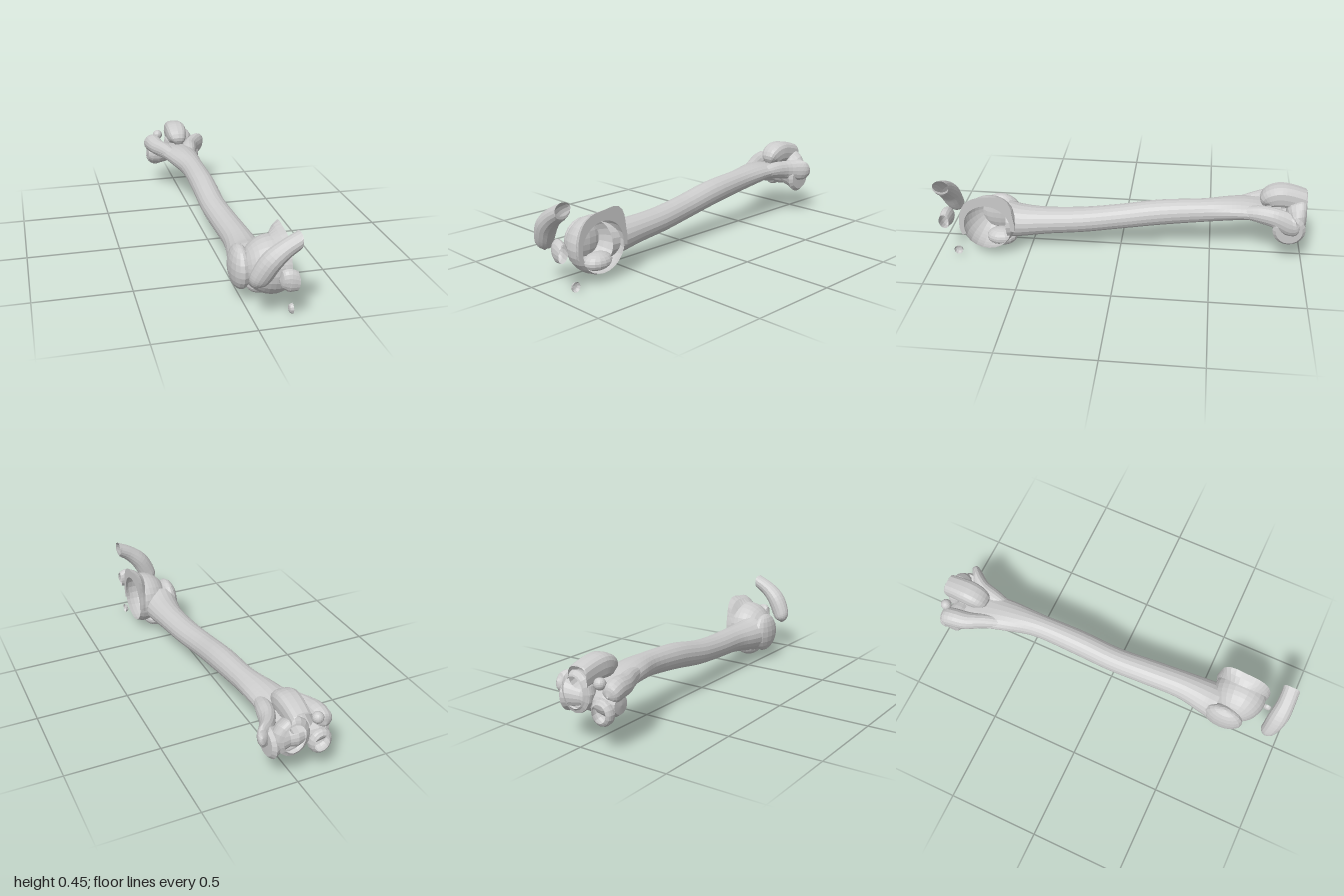
import * as THREE from 'three';

const bone = new THREE.MeshStandardMaterial({ color: 0xcccccc, flatShading: true, side: THREE.DoubleSide });
const V = (x, y, z) => new THREE.Vector3(x, y, z);

// Surface through equal-length rings of points, cut off at the two open ends
function loft(rings) {
  const n = rings[0].length, pos = [], idx = [];
  rings.forEach(r => r.forEach(p => pos.push(Math.min(p.x, 0.2), p.y, Math.max(p.z, -1))));
  for (let i = 0; i < rings.length - 1; i++) {
    for (let j = 0; j < n; j++) {
      const a = i * n + j, b = i * n + (j + 1) % n;
      idx.push(a, b, a + n, b, b + n, a + n);
    }
  }
  const g = new THREE.BufferGeometry();
  g.setAttribute('position', new THREE.Float32BufferAttribute(pos, 3));
  g.setIndex(idx);
  g.computeVertexNormals();
  return g;
}

// Section swept along a curve; each row is [x, y, z, half width along side, other half width].
// A power below 1 makes the oval section squarer.
function sweep(rows, side, steps = 16, n = 16, power = 1) {
  const path = new THREE.CatmullRomCurve3(rows.map(r => V(r[0], r[1], r[2])), false, 'catmullrom');
  const size = new THREE.CatmullRomCurve3(rows.map(r => V(r[3], r[4], 0)), false, 'catmullrom');
  const bend = t => Math.sign(t) * Math.abs(t) ** power;
  const rings = [];
  for (let i = 0; i <= steps; i++) {
    const u = i / steps, c = path.getPoint(u), s = size.getPoint(u);
    const up = path.getTangent(u).cross(side).normalize();
    const ring = [];
    for (let j = 0; j < n; j++) {
      const a = j / n * Math.PI * 2;
      ring.push(c.clone().addScaledVector(side, bend(Math.cos(a)) * s.x).addScaledVector(up, bend(Math.sin(a)) * s.y));
    }
    rings.push(ring);
  }
  return loft(rings);
}

export function createModel() {
  const model = new THREE.Group();
  const X = V(1, 0, 0), Z = V(0, 0, 1);
  const add = (name, geo) => {
    const m = new THREE.Mesh(geo, bone);
    m.name = name;
    model.add(m);
    return m;
  };
  const lump = (name, p, r) => {
    const m = add(name, new THREE.SphereGeometry(1, 16, 11));
    m.position.set(...p);
    m.scale.set(...r);
  };

  // Long shaft, flattened toward the elbow and swelling at the shoulder
  add('shaft', sweep([
    [-0.02, 0.27, -0.87, 0.125, 0.022],
    [-0.025, 0.272, -0.79, 0.13, 0.038],
    [-0.015, 0.275, -0.70, 0.103, 0.052],
    [0.0, 0.273, -0.60, 0.087, 0.06],
    [0.02, 0.262, -0.45, 0.066, 0.064],
    [0.029, 0.24, -0.22, 0.069, 0.07],
    [0.034, 0.203, 0, 0.069, 0.068],
    [0.053, 0.182, 0.2, 0.073, 0.069],
    [0.067, 0.172, 0.4, 0.078, 0.074],
    [0.063, 0.163, 0.54, 0.095, 0.088],
    [0.056, 0.163, 0.62, 0.104, 0.102],
  ], X, 44, 20));

  // Two arms around the hollow above the elbow
  add('outerArm', sweep([
    [-0.05, 0.278, -0.62, 0.03, 0.03], [-0.09, 0.285, -0.73, 0.042, 0.045],
    [-0.13, 0.288, -0.82, 0.05, 0.05], [-0.146, 0.29, -0.9, 0.052, 0.056],
    [-0.15, 0.275, -0.95, 0.045, 0.045], [-0.15, 0.27, -0.97, 0.004, 0.004],
  ], X));
  add('innerArm', sweep([
    [0.045, 0.275, -0.66, 0.03, 0.03], [0.06, 0.28, -0.75, 0.045, 0.048],
    [0.083, 0.275, -0.83, 0.045, 0.055], [0.135, 0.27, -0.905, 0.045, 0.065],
    [0.165, 0.275, -0.94, 0.025, 0.045], [0.175, 0.28, -0.955, 0.002, 0.002],
  ], X));

  // Spool-shaped elbow joint
  const spool = [[0, -0.185], [0.045, -0.18], [0.062, -0.155], [0.068, -0.115], [0.06, -0.07],
    [0.052, -0.045], [0.062, -0.01], [0.054, 0.03], [0.068, 0.08], [0.087, 0.12], [0.07, 0.138], [0, 0.14]];
  const joint = add('elbowJoint', new THREE.LatheGeometry(spool.map(p => new THREE.Vector2(...p)), 20));
  joint.rotation.z = -Math.PI / 2;
  joint.position.set(0, 0.222, -0.912);

  // Hooked forearm bone, cut at the back
  add('elbowHook', sweep([
    [0, 0.31, -0.775, 0.02, 0.012], [-0.005, 0.345, -0.795, 0.053, 0.05],
    [-0.006, 0.368, -0.85, 0.063, 0.062], [-0.004, 0.362, -0.92, 0.06, 0.062],
    [0, 0.34, -1, 0.056, 0.06],
  ], X, 16, 16, 0.7));
  add('forearmSocket', sweep([
    [0.03, 0.25, -0.91, 0.04, 0.04], [0.032, 0.262, -0.94, 0.09, 0.09],
    [0.03, 0.265, -0.98, 0.09, 0.105], [0.03, 0.265, -1, 0.06, 0.08],
  ], X, 10));
  lump('socketBump', [-0.105, 0.325, -0.965], [0.03, 0.03, 0.03]);

  // Second forearm bone
  add('forearmHead', sweep([
    [-0.12, 0.195, -0.945, 0.03, 0.03], [-0.122, 0.193, -0.955, 0.06, 0.062],
    [-0.122, 0.192, -0.985, 0.058, 0.065], [-0.12, 0.192, -1, 0.042, 0.046],
  ], X, 8));

  // Shoulder ball, open at the cut side
  const r = 0.147, open = Math.acos(0.06 / r);
  const ball = add('shoulderBall', new THREE.SphereGeometry(r, 24, 12, 0, Math.PI * 2, open, Math.PI - open));
  ball.rotation.z = -Math.PI / 2;
  ball.position.set(0.14, 0.186, 0.713);
  lump('greaterTubercle', [-0.006, 0.17, 0.675], [0.055, 0.113, 0.113]);
  lump('lesserTubercle', [0.09, 0.07, 0.66], [0.066, 0.049, 0.085]);

  // Thin socket rim over the ball, flaring up and back
  const rim = [], hill = (a, mid, w) => Math.exp(-(((a - mid) / w) ** 2));
  for (let i = 0; i <= 24; i++) {
    const a = -0.4 + i / 24 * 3.7;
    const flare = 0.153 + 0.03 * hill(a, 1.1, 0.6) + 0.052 * hill(a, 2.1, 0.42);
    const lip = 0.137 + 0.035 * Math.cos(a) ** 2;
    const at = (x, q) => V(x, 0.188 + q * Math.sin(a), 0.712 + q * Math.cos(a));
    rim.push([at(lip, 0.147), at((lip + 0.2) / 2, 0.06 + 0.6 * flare), at(0.2, flare), at(0.2, 0.128), at((lip + 0.2) / 2, 0.138)]);
  }
  add('socketRim', loft(rim));

  // Curved shoulder blade tip above the joint
  add('bladeTip', sweep([
    [0.215, 0.423, 0.946, 0.045, 0.038], [0.135, 0.378, 0.95, 0.047, 0.044],
    [0.07, 0.32, 0.945, 0.054, 0.052], [0.03, 0.25, 0.935, 0.048, 0.052],
    [0.012, 0.205, 0.925, 0.037, 0.04], [0.008, 0.176, 0.92, 0.004, 0.004],
  ], Z, 20));

  // Small beak beside it and a loose fragment below
  add('beak', sweep([
    [0.113, 0.21, 0.935, 0.004, 0.004], [0.125, 0.21, 0.938, 0.028, 0.042],
    [0.155, 0.212, 0.945, 0.034, 0.058], [0.2, 0.203, 0.952, 0.028, 0.045],
  ], Z, 10));
  add('fragment', sweep([
    [0.18, 0.027, 0.885, 0.003, 0.003], [0.185, 0.027, 0.885, 0.02, 0.02], [0.2, 0.027, 0.885, 0.025, 0.027],
  ], Z, 5, 10));

  return model;
}
